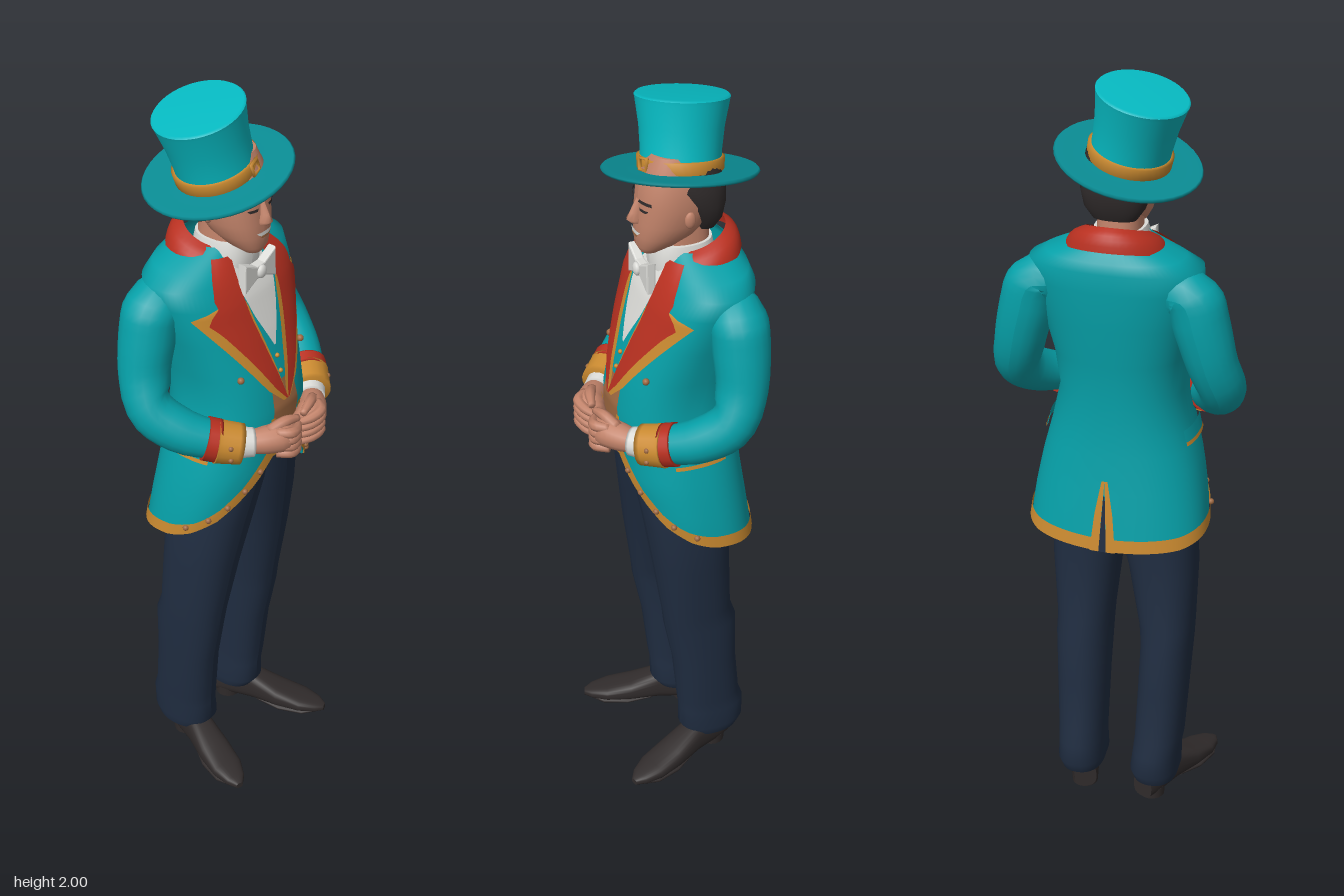
import * as THREE from 'three';

const colours = {
  coatTeal: 0x06a0a8, crownTeal: 0x06bac2, brimTeal: 0x0a8c94, red: 0xb83020, gold: 0xca8a30, navy: 0x202d41,
  darkBrown: 0x302b2b, skin: 0xc2836a, shirtWhite: 0xdcdcd8, tan: 0xa06a42,
};
const M = {};
const D = Math.PI / 180;
const spow = (v, p) => Math.sign(v) * Math.abs(v) ** p;

// Grid surface from a rule (u, v) -> [x, y, z]
function grid(fn, nu, nv) {
  const pos = [], idx = [];
  for (let j = 0; j <= nv; j++) for (let i = 0; i <= nu; i++) pos.push(...fn(i / nu, j / nv));
  for (let j = 0; j < nv; j++) for (let i = 0; i < nu; i++) {
    const a = j * (nu + 1) + i, b = a + nu + 1;
    idx.push(a, a + 1, b + 1, a, b + 1, b);
  }
  const g = new THREE.BufferGeometry();
  g.setAttribute('position', new THREE.Float32BufferAttribute(pos, 3));
  g.setIndex(idx);
  g.computeVertexNormals();
  return g;
}

// Rows are [y, x0, x1, z0, z1]; angle 0 is the front
function ringPoint([y, x0, x1, z0, z1], a, n = 2.4, grow = 0) {
  return [(x0 + x1) / 2 + ((x1 - x0) / 2 + grow) * spow(Math.sin(a), 2 / n), y,
    (z0 + z1) / 2 + ((z1 - z0) / 2 + grow) * spow(Math.cos(a), 2 / n)];
}
function rowAt(rows, y) {
  let i = 0;
  while (i < rows.length - 2 && y > rows[i + 1][0]) i++;
  const t = (y - rows[i][0]) / (rows[i + 1][0] - rows[i][0]);
  return rows[i].map((v, k) => v + (rows[i + 1][k] - v) * t);
}
// Closed loft; end rows are doubled so the caps keep a sharp edge
const flat = ([y, x0, x1, z0, z1]) => [y, (x0 + x1) / 2, (x0 + x1) / 2, (z0 + z1) / 2, (z0 + z1) / 2];
function loft(rows, n = 2.4, seg = 28) {
  const first = rows[0], last = rows[rows.length - 1];
  const all = [flat(first), first, ...rows, last, flat(last)];
  return grid((u, v) => ringPoint(all[Math.round(v * (all.length - 1))], u * 2 * Math.PI, n), seg, all.length - 1);
}

// Thin panel laid on a lofted body; strips are [y, xInner, xOuter]
function panel(body, strips, off, m = 1, side = 1) {
  return grid((u, v) => {
    const y = strips[0][0] + (strips[strips.length - 1][0] - strips[0][0]) * v;
    const [, a, b] = rowAt(strips, y);
    const [, x0, x1, z0, z1] = rowAt(body, y);
    const x = m * (a + (b - a) * u), r = (x1 - x0) / 2;
    const k = Math.min(1, Math.abs((x - (x0 + x1) / 2) / r));
    return [x, y, (z0 + z1) / 2 + side * ((z1 - z0) / 2 * (1 - k ** 2.4) ** (1 / 2.4) + off)];
  }, 6, 20);
}

// Limb along points [x, y, z, radius], mirrored by m
function limb(pts, m = 1, seg = 14) {
  const curve = new THREE.CatmullRomCurve3(pts.map(p => new THREE.Vector3(p[0] * m, p[1], p[2])));
  const n = pts.length * 3, fr = curve.computeFrenetFrames(n);
  return grid((u, v) => {
    const j = Math.min(n, Math.max(0, Math.round(v * (n + 2)) - 1)), t = j / n;
    const f = t * (pts.length - 1), i = Math.min(pts.length - 2, Math.floor(f));
    const cap = v === 0 || v === 1;
    const r = cap ? 0 : pts[i][3] + (pts[i + 1][3] - pts[i][3]) * (f - i);
    return curve.getPoint(t).addScaledVector(fr.normals[j], r * Math.cos(u * 2 * Math.PI))
      .addScaledVector(fr.binormals[j], r * Math.sin(u * 2 * Math.PI)).toArray();
  }, seg, n + 2);
}

const sym = (y, x, z0, z1) => [y, -x, x, z0, z1];
const COAT = [sym(0.78, 0.238, -0.2, 0.09), sym(0.9, 0.226, -0.185, 0.125), sym(1.0, 0.208, -0.172, 0.145),
  sym(1.1, 0.182, -0.162, 0.152), sym(1.2, 0.16, -0.158, 0.155), sym(1.3, 0.17, -0.168, 0.132),
  sym(1.4, 0.192, -0.182, 0.102), sym(1.5, 0.216, -0.19, 0.068), sym(1.55, 0.218, -0.189, 0.042),
  sym(1.575, 0.175, -0.182, 0.026), sym(1.6, 0.115, -0.16, 0.014), sym(1.615, 0.08, -0.145, 0.008)];
const HEAD = [sym(1.607, 0.025, 0.02, 0.07), sym(1.625, 0.045, -0.02, 0.08), sym(1.655, 0.064, -0.07, 0.082),
  sym(1.69, 0.077, -0.1, 0.081), sym(1.74, 0.083, -0.122, 0.076), sym(1.8, 0.08, -0.125, 0.07), sym(1.86, 0.055, -0.1, 0.04)];
// Height of the cutaway hem by angle in degrees from the front
const HEM = [[0, 1.1], [12, 1.05], [22, 1.0], [35, 0.945], [50, 0.895], [70, 0.855], [90, 0.83], [130, 0.81], [180, 0.8]];
const hem = deg => rowAt(HEM, deg)[1];

export function createModel() {
  const root = new THREE.Group();
  for (const k in colours) {
    M[k] = new THREE.MeshStandardMaterial({ color: colours[k], side: THREE.DoubleSide });
    M[k].name = k;
  }
  const add = (name, geo, mat, parent = root) => {
    const mesh = new THREE.Mesh(geo, M[mat]);
    mesh.name = name;
    parent.add(mesh);
    return mesh;
  };
  const dot = (name, p, r, mat, s = [1, 1, 1]) => {
    const b = add(name, new THREE.SphereGeometry(r, 12, 8), mat);
    b.position.set(...p);
    b.scale.set(...s);
  };

  // Trouser legs run up under the coat and meet at the centre seam
  const legs = {
    right: [[0.07, -0.175, -0.06, -0.17, -0.02], [0.1, -0.182, -0.05, -0.185, 0], [0.16, -0.182, -0.058, -0.186, 0.0],
      [0.2, -0.188, -0.06, -0.172, 0.005], [0.35, -0.196, -0.064, -0.157, 0.02], [0.48, -0.202, -0.068, -0.155, 0.045],
      [0.53, -0.203, -0.06, -0.138, 0.05], [0.7, -0.205, -0.025, -0.13, 0.075], [0.84, -0.195, 0.015, -0.13, 0.095],
      [0.95, -0.175, 0.04, -0.14, 0.112], [1.1, -0.14, 0.06, -0.14, 0.125]],
    left: [[0.07, 0.035, 0.145, -0.17, -0.02], [0.1, 0.027, 0.155, -0.185, 0], [0.16, 0.03, 0.153, -0.186, 0.0],
      [0.2, 0.03, 0.156, -0.172, 0.005], [0.35, 0.026, 0.163, -0.157, 0.02], [0.48, 0.022, 0.167, -0.155, 0.045],
      [0.53, 0.02, 0.168, -0.138, 0.05], [0.7, 0.003, 0.182, -0.13, 0.075], [0.84, -0.02, 0.187, -0.13, 0.095],
      [0.95, -0.04, 0.175, -0.14, 0.112], [1.1, -0.06, 0.14, -0.14, 0.125]],
  };
  for (const side in legs) add(side + 'TrouserLeg', loft(legs[side], 2.3), 'navy');

  // Shoes, lofted from heel to toe
  for (const [x, yaw] of [[-0.145, -0.36], [0.122, 0.34]]) {
    const shoe = new THREE.Group();
    shoe.name = x < 0 ? 'rightShoe' : 'leftShoe';
    const upper = [[-0.15, 0.03, 0.075], [-0.11, 0.039, 0.105], [-0.03, 0.038, 0.1], [0.05, 0.046, 0.065],
      [0.12, 0.044, 0.046], [0.165, 0.028, 0.035], [0.187, 0.01, 0.025]];
    add('shoeUpper', loft(upper.map(([l, w, h]) => [l, -w, w, -h, -0.008]), 2.8).rotateX(Math.PI / 2), 'darkBrown', shoe);
    add('shoeHeel', new THREE.CylinderGeometry(0.037, 0.035, 0.03, 16), 'darkBrown', shoe).position.set(0, 0.015, -0.108);
    add('shoeSole', loft([[-0.01, -0.03, 0.03, -0.02, -0.008], [0.06, -0.046, 0.046, -0.02, 0], [0.13, -0.042, 0.042, -0.02, 0],
      [0.18, -0.015, 0.015, -0.022, -0.008]]).rotateX(Math.PI / 2), 'darkBrown', shoe);
    shoe.position.x = x;
    shoe.rotation.y = yaw;
    root.add(shoe);
  }

  // Coat: cutaway skirt rows up to the waist, then the body rows
  const skirtPoint = (deg, y0, y1, t, grow) => {
    const near = deg > 180 ? 360 - deg : deg, y = y0(near) + (y1(near) - y0(near)) * t;
    return ringPoint(rowAt(COAT, y), deg * D, 2.4, grow);
  };
  const coatRows = COAT.slice(4), coatSteps = 6 + coatRows.length;
  add('coat', grid((u, v) => {
    const j = Math.round(v * coatSteps);
    return j <= 6 ? skirtPoint(u * 360, hem, () => 1.1, j / 6, 0) : ringPoint(coatRows[j - 7], u * 2 * Math.PI);
  }, 72, coatSteps), 'coatTeal');
  const band = (y0, y1, grow, d0 = 0, d1 = 360) =>
    grid((u, v) => skirtPoint(d0 + (d1 - d0) * u, y0, y1, v, grow), 72, 2);
  add('hemTrim', band(hem, d => Math.min(1.12, hem(d) + 0.034 + 0.03 * Math.max(0, 1 - d / 60)), 0.004), 'gold');
  for (const [a, b] of [[72, 112], [248, 288]]) {
    add('pocketFlap', band(() => 1.075, () => 1.11, 0.008, a, b), 'coatTeal');
    add('pocketEdge', band(() => 1.07, () => 1.08, 0.01, a, b), 'gold');
  }
  add('backVent', panel(COAT, [[0.8, -0.01, 0.01], [0.95, -0.002, 0.002]], 0.006, 1, -1), 'navy');

  // Shirt and waistcoat front
  add('shirtFront', panel(COAT, [[1.36, -0.003, 0.003], [1.45, -0.042, 0.042], [1.52, -0.062, 0.062], [1.6, -0.05, 0.05]], 0.004), 'shirtWhite');
  add('waistPanel', panel(COAT, [[1.09, -0.025, 0.025], [1.18, -0.048, 0.048], [1.27, -0.042, 0.042]], 0.003), 'tan');
  for (const y of [1.33, 1.29]) dot('waistcoatButton', [0, y, rowAt(COAT, y)[4] + 0.002], 0.006, 'gold');

  for (const m of [-1, 1]) {
    // Lapels with gold edging, vent edging and front edge
    add('lapelEdging', panel(COAT, [[1.215, 0, 0.012], [1.26, 0.005, 0.056], [1.35, 0.025, 0.112], [1.44, 0.047, 0.17],
      [1.485, 0.055, 0.198], [1.5, 0.06, 0.15], [1.51, 0.064, 0.1]], 0.006, m), 'gold');
    add('lapel', panel(COAT, [[1.22, 0, 0.005], [1.26, 0.01, 0.036], [1.35, 0.034, 0.088], [1.44, 0.056, 0.145],
      [1.475, 0.062, 0.175], [1.5, 0.064, 0.14], [1.53, 0.064, 0.145], [1.57, 0.058, 0.125], [1.6, 0.05, 0.095]], 0.011, m), 'red');
    add('ventEdging', panel(COAT, [[0.8, 0.01, 0.034], [0.9, 0.005, 0.024], [0.99, 0, 0.008]], 0.006, m, -1), 'gold');
    add('frontEdging', panel(COAT, [[1.06, 0.025, 0.055], [1.18, 0.046, 0.06]], 0.006, m), 'gold');
    for (const d of [21, 32, 44, 58, 76]) {
      const y = hem(d) + 0.024;
      dot('hemButton', ringPoint(rowAt(COAT, y), m * d * D, 2.4, 0.005), 0.008, 'tan');
    }
    dot('coatButton', [m * 0.12, 1.31, 0.106], 0.009, 'tan');

    // Sleeves, cuffs and hands
    add('sleeve', limb([[0.14, 1.495, -0.1, 0.06], [0.196, 1.488, -0.1, 0.073], [0.224, 1.41, -0.1, 0.071], [0.25, 1.31, -0.09, 0.064],
      [0.267, 1.235, -0.055, 0.061], [0.236, 1.185, 0.015, 0.057], [0.172, 1.152, 0.1, 0.045]], m, 20), 'coatTeal');
    add('cuffLining', limb([[0.204, 1.165, 0.06, 0.056], [0.183, 1.156, 0.084, 0.055]], m, 18), 'red');
    add('cuff', limb([[0.187, 1.156, 0.08, 0.057], [0.143, 1.143, 0.127, 0.052]], m, 18), 'gold');
    add('shirtCuff', limb([[0.145, 1.145, 0.12, 0.042], [0.118, 1.142, 0.146, 0.037]], m), 'shirtWhite');
    for (const y of [1.13, 1.165]) dot('cuffButton', [m * 0.2, y, 0.138], 0.007, 'tan');
    add('hand', limb([[0.135, 1.143, 0.13, 0.028], [0.1, 1.145, 0.162, 0.036], [0.06, 1.145, 0.187, 0.04],
      [0.02, 1.135, 0.185, 0.03]], m), 'skin');
    for (let i = 0; i < 4; i++) {
      const y = 1.17 - i * 0.02;
      add('finger', limb([[0.085, y, 0.19, 0.012], [0.06, y, 0.218, 0.014], [0.03, y - 0.008, 0.212, 0.013],
        [0.002, y - 0.014, 0.195, 0.009]], m, 8), 'skin');
    }
    add('thumb', limb([[0.09, 1.17, 0.17, 0.015], [0.05, 1.187, 0.19, 0.014], [0.01, 1.18, 0.2, 0.009]], m, 8), 'skin');

    // Ears, eyes and brows
    dot('ear', [m * 0.082, 1.71, -0.025], 0.022, 'skin', [0.4, 1, 0.65]);
    add('eye', panel(HEAD, [[1.727, 0.022, 0.042], [1.734, 0.018, 0.048]], 0.003, m), 'darkBrown');
    add('brow', panel(HEAD, [[1.748, 0.014, 0.056], [1.756, 0.018, 0.054]], 0.005, m), 'darkBrown');
  }

  // Neck, collars and bow tie
  add('neck', loft([sym(1.54, 0.06, -0.11, 0.03), sym(1.67, 0.053, -0.1, 0.02)]), 'skin');
  add('shirtCollar', loft([sym(1.56, 0.074, -0.12, 0.045), sym(1.6, 0.07, -0.115, 0.047), sym(1.628, 0.063, -0.11, 0.038)]), 'shirtWhite');
  add('coatCollar', grid((u, v) => {
    const a = (40 + 280 * u) * D, c = Math.cos(a), w = Math.sin(Math.PI * v) * 0.008;
    return [(0.13 - 0.054 * v + w) * Math.sin(a), 1.577 + 0.052 * v - 0.027 * c + w, -0.07 + (0.112 - 0.036 * v + w) * c];
  }, 32, 5), 'red');
  const bow = new THREE.Shape([[-0.058, -0.036], [-0.015, -0.014], [0.015, -0.014], [0.058, -0.036], [0.056, 0.036],
    [0.015, 0.014], [-0.015, 0.014], [-0.056, 0.036]].map(p => new THREE.Vector2(...p)));
  add('bowTie', new THREE.ExtrudeGeometry(bow, { depth: 0.016, bevelSize: 0.004, bevelThickness: 0.004, bevelSegments: 2 }),
    'shirtWhite').position.set(-0.004, 1.555, 0.056);
  dot('bowKnot', [-0.004, 1.555, 0.078], 0.016, 'shirtWhite', [1, 1.1, 0.6]);

  // Head
  add('head', loft(HEAD, 2.3, 36), 'skin');
  add('hair', loft([sym(1.66, 0.055, -0.115, -0.055), sym(1.69, 0.076, -0.13, -0.04), sym(1.73, 0.087, -0.138, -0.012),
    sym(1.78, 0.09, -0.138, 0.02), sym(1.83, 0.075, -0.12, 0.02)]), 'darkBrown');
  add('nose', loft([sym(1.688, 0.015, 0.06, 0.094), sym(1.698, 0.017, 0.06, 0.104), sym(1.715, 0.011, 0.06, 0.096),
    sym(1.748, 0.008, 0.05, 0.08)], 2, 12), 'skin');
  add('smile', panel(HEAD, [[1.659, -0.014, 0.014], [1.664, -0.022, 0.022], [1.669, -0.028, 0.028]], 0.003), 'shirtWhite');
  add('lowerLip', panel(HEAD, [[1.653, -0.012, 0.012], [1.659, -0.018, 0.018]], 0.003), 'tan');

  // Tilted top hat
  const hat = new THREE.Group();
  hat.name = 'topHat';
  const lathe = pts => new THREE.LatheGeometry(pts.map(p => new THREE.Vector2(...p)), 40);
  const brim = add('hatBrim', lathe([[0, -0.006], [0.1, -0.006], [0.15, -0.008], [0.178, -0.002], [0.182, 0.004], [0.178, 0.009], [0.15, 0.005], [0.09, 0.008]]), 'brimTeal', hat);
  brim.scale.z = 1.05;
  add('hatCrown', lathe([[0.097, 0], [0.097, 0.05], [0.102, 0.11], [0.112, 0.17], [0.114, 0.179]]), 'crownTeal', hat);
  add('hatTop', lathe([[0.114, 0.179], [0.109, 0.184], [0, 0.184]]), 'crownTeal', hat);
  add('hatBand', lathe([[0.097, 0.006], [0.104, 0.008], [0.105, 0.036], [0.097, 0.038]]), 'gold', hat);
  const buckle = add('hatBuckle', new THREE.TorusGeometry(0.02, 0.005, 6, 4).rotateZ(Math.PI / 4), 'gold', hat);
  buckle.position.set(0.02, 0.024, 0.104);
  buckle.rotation.y = 0.2;
  hat.position.set(-0.02, 1.79, -0.042);
  hat.rotation.set(-0.13, 0, 0.24);
  root.add(hat);
  return root;
}
